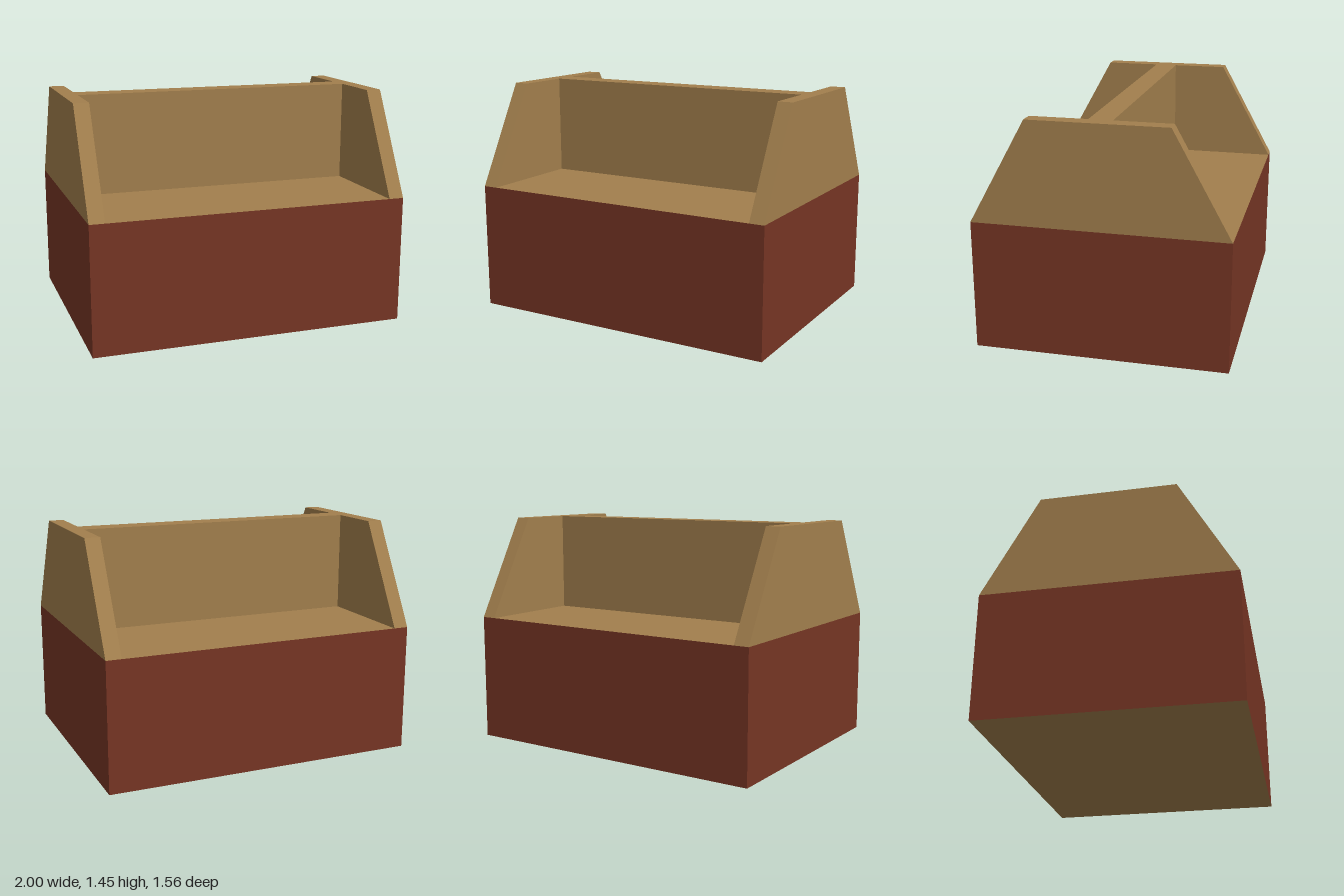
import * as THREE from 'three';

const HALF_W = 1, HALF_D = 0.78, BASE_H = 0.805, TOP = 1.445;
const CHEEK = 0.095, CHEEK_TOP = 0.425, DIVIDER = 0.145;

export function createModel() {
  const group = new THREE.Group();
  group.name = 'dividedBox';
  const tan = new THREE.MeshStandardMaterial({ name: 'tan', color: 0xa27f4d });
  const brick = new THREE.MeshStandardMaterial({ name: 'brickRed', color: 0x763524 });

  const add = (name, geometry, material, x, y, z) => {
    const mesh = new THREE.Mesh(geometry, material);
    mesh.name = name;
    mesh.position.set(x, y, z);
    group.add(mesh);
  };

  // Red-sided base with tan top and underside
  add('base', new THREE.BoxGeometry(HALF_W * 2, BASE_H, HALF_D * 2),
    [brick, brick, tan, tan, brick, brick], 0, BASE_H / 2, 0);

  // Upright panel running between the end walls
  add('divider', new THREE.BoxGeometry((HALF_W - CHEEK) * 2, TOP - BASE_H, DIVIDER),
    tan, 0, (TOP + BASE_H) / 2, 0);

  // Trapezoid end walls
  const outline = new THREE.Shape([
    new THREE.Vector2(-HALF_D, BASE_H),
    new THREE.Vector2(HALF_D, BASE_H),
    new THREE.Vector2(CHEEK_TOP, TOP),
    new THREE.Vector2(-CHEEK_TOP, TOP),
  ]);
  const wall = new THREE.ExtrudeGeometry(outline, { depth: CHEEK, bevelEnabled: false });
  wall.translate(0, 0, -CHEEK / 2).rotateY(Math.PI / 2);
  for (const [name, side] of [['leftEndWall', 1], ['rightEndWall', -1]]) {
    add(name, wall, tan, side * (HALF_W - CHEEK / 2), 0, 0);
  }
  return group;
}
